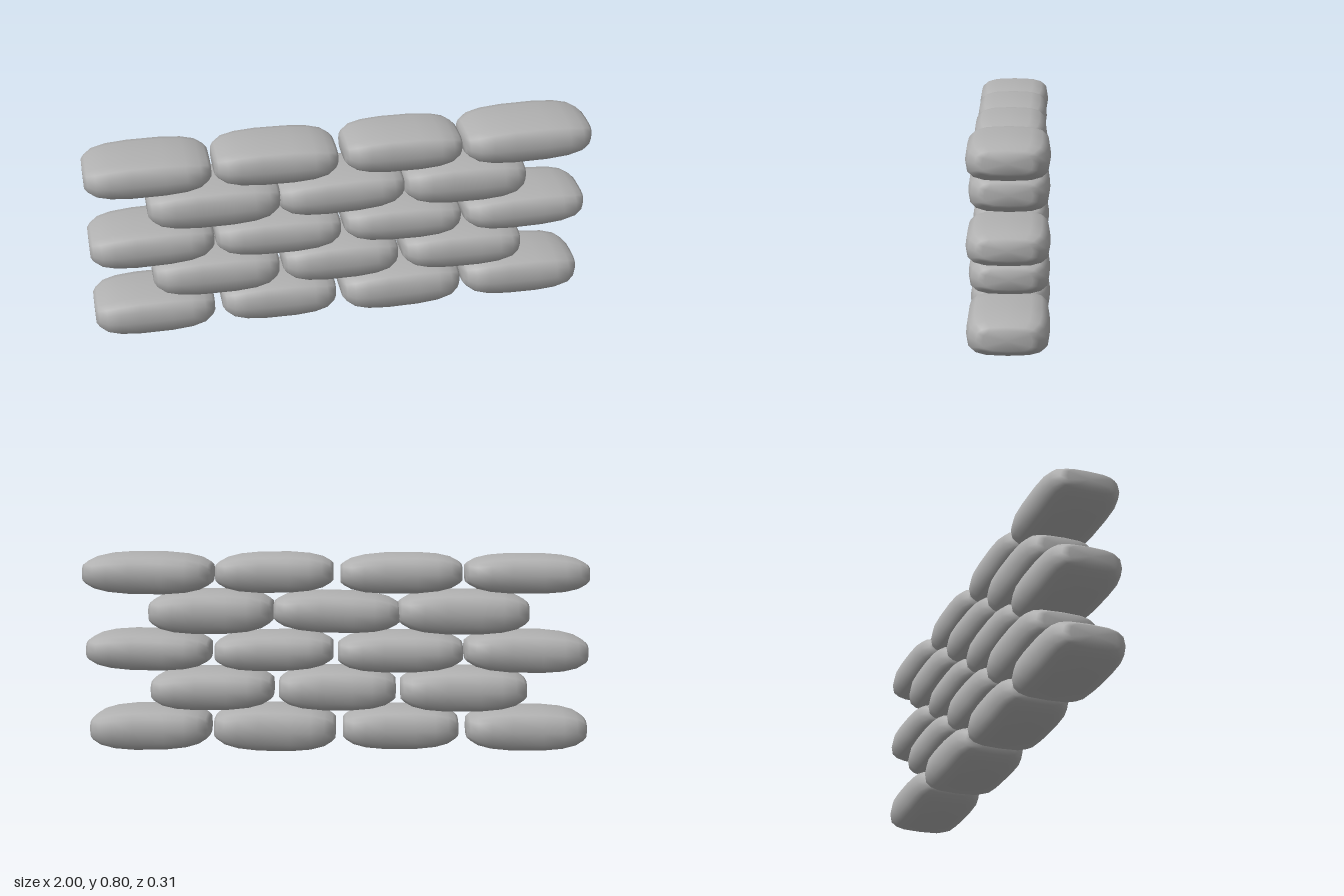
import * as THREE from 'three';

const canvas = new THREE.MeshStandardMaterial({ color: 0xb0b0b0 });
canvas.name = 'grey canvas';

// Unit bag: rings of rounded-rectangle sections along x, as [x, half height, half depth]
function bagGeometry() {
  const half = [[0.5, 0.21, 0.29], [0.475, 0.27, 0.37], [0.41, 0.375, 0.46], [0.3, 0.455, 0.492], [0.13, 0.5, 0.5]];
  const stations = [
    ...half.map(([x, h, d]) => [-x, h, d]),
    ...half.slice().reverse(),
  ];
  const sides = 16, pos = [], index = [];
  const squared = v => Math.sign(v) * Math.abs(v) ** 0.62;
  for (const [x, h, d] of stations) {
    for (let i = 0; i < sides; i++) {
      const a = (i / sides) * Math.PI * 2;
      pos.push(x, h * squared(Math.sin(a)), d * squared(Math.cos(a)));
    }
  }
  const last = (stations.length - 1) * sides;
  const leftPole = pos.length / 3, rightPole = leftPole + 1;
  pos.push(-0.5, 0, 0, 0.5, 0, 0);
  for (let i = 0; i < sides; i++) {
    const j = (i + 1) % sides;
    for (let s = 0; s < last; s += sides) {
      index.push(s + i, s + sides + i, s + j, s + j, s + sides + i, s + sides + j);
    }
    index.push(leftPole, i, j, rightPole, last + j, last + i);
  }
  const g = new THREE.BufferGeometry();
  g.setAttribute('position', new THREE.Float32BufferAttribute(pos, 3));
  g.setIndex(index);
  g.computeVertexNormals();
  return g;
}

// Courses from the ground up; each bag is [x start, x end, y bottom, y top, depth, tilt]
const courses = [
  [[-1, -0.525, 0.008, 0.178, 0.3, 0], [-0.49, -0.03, 0.012, 0.18, 0.29, -0.01],
    [0, 0.485, 0.003, 0.183, 0.305, 0.015], [0.505, 0.98, 0.006, 0.18, 0.3, -0.015]],
  [[-0.76, -0.26, 0.165, 0.338, 0.305, -0.01], [-0.24, 0.225, 0.168, 0.338, 0.29, 0],
    [0.25, 0.735, 0.168, 0.333, 0.3, -0.015]],
  [[-1, -0.515, 0.322, 0.486, 0.295, 0.015], [-0.505, -0.01, 0.322, 0.482, 0.295, -0.01],
    [0.01, 0.48, 0.326, 0.482, 0.285, -0.02], [0.5, 0.99, 0.328, 0.486, 0.3, 0.015]],
  [[-0.765, -0.25, 0.474, 0.648, 0.295, 0], [-0.255, 0.245, 0.48, 0.642, 0.29, 0.025],
    [0.25, 0.74, 0.474, 0.648, 0.3, -0.01]],
  [[-1, -0.515, 0.637, 0.792, 0.295, 0], [-0.5, -0.02, 0.636, 0.795, 0.28, -0.015],
    [0.01, 0.475, 0.638, 0.797, 0.275, -0.01], [0.49, 1, 0.632, 0.797, 0.3, 0.01]],
];

export function createModel() {
  const wall = new THREE.Group();
  wall.name = 'sandbagWall';
  const geometry = bagGeometry();
  courses.forEach((bags, row) => {
    const course = new THREE.Group();
    course.name = `course${row + 1}`;
    bags.forEach(([x0, x1, y0, y1, depth, tilt], i) => {
      const bag = new THREE.Mesh(geometry, canvas);
      bag.name = `sandbag${i + 1}`;
      bag.position.set((x0 + x1) / 2, (y0 + y1) / 2, -0.002);
      bag.scale.set(x1 - x0, y1 - y0, depth);
      bag.rotation.z = tilt;
      course.add(bag);
    });
    wall.add(course);
  });
  return wall;
}
